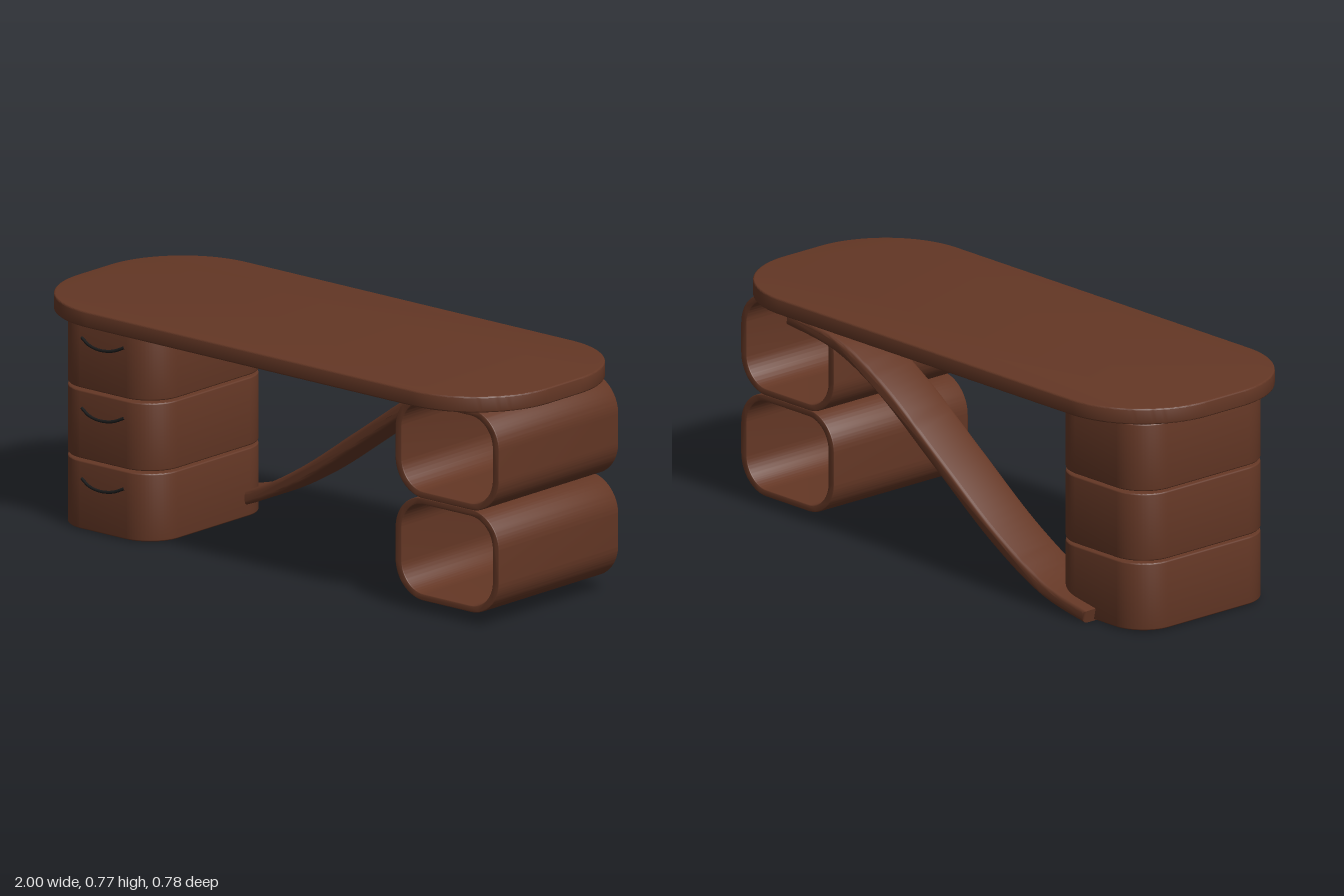
import * as THREE from 'three';
import { toCreasedNormals } from 'three/addons/utils/BufferGeometryUtils.js';

const wood = new THREE.MeshStandardMaterial({ color: 0x643725 });
wood.name = 'walnut';
const black = new THREE.MeshStandardMaterial({ color: 0x1a1a1a });
black.name = 'blackMetal';

// Rounded rectangle centred on the origin
function roundRect(w, h, r, Type = THREE.Shape) {
  const s = new Type();
  const x = w / 2, y = h / 2;
  s.moveTo(x, r - y);
  s.absarc(x - r, y - r, r, 0, Math.PI / 2, false);
  s.absarc(r - x, y - r, r, Math.PI / 2, Math.PI, false);
  s.absarc(r - x, r - y, r, Math.PI, Math.PI * 1.5, false);
  s.absarc(x - r, r - y, r, Math.PI * 1.5, Math.PI * 2, false);
  return s;
}

// Extrusion with softly rounded edges, centred in depth, keeping its outer size
function softExtrude(shape, depth, bevel) {
  const geo = new THREE.ExtrudeGeometry(shape, {
    depth: depth - 2 * bevel, bevelThickness: bevel, bevelSize: bevel,
    bevelOffset: -bevel, bevelSegments: 3, curveSegments: 20,
  });
  geo.translate(0, 0, bevel - depth / 2);
  return geo;
}

function addMesh(parent, name, geo, material = wood) {
  const mesh = new THREE.Mesh(geo, material);
  mesh.name = name;
  parent.add(mesh);
  return mesh;
}

// Horizontal slab between two heights
function slab(parent, name, w, d, r, y0, y1, bevel) {
  const geo = softExtrude(roundRect(w, d, r), y1 - y0, bevel);
  geo.rotateX(-Math.PI / 2);
  const mesh = addMesh(parent, name, toCreasedNormals(geo, 0.6));
  mesh.position.y = (y0 + y1) / 2;
  return mesh;
}

export function createModel() {
  const desk = new THREE.Group();
  desk.name = 'desk';

  // Top
  slab(desk, 'deskTop', 2, 0.776, 0.31, 0.715, 0.768, 0.005);

  // Stack of three drawers with sagging handles
  const drawers = new THREE.Group();
  drawers.name = 'drawerStack';
  drawers.position.x = -0.705;
  desk.add(drawers);
  for (let i = 0; i < 3; i++) {
    const y = 0.006 + i * 0.2345;
    slab(drawers, 'drawer', 0.43, 0.585, 0.12, y, y + 0.226, 0.005);
    const arc = new THREE.CatmullRomCurve3([
      [-0.09, 0.643, 0.293], [-0.05, 0.626, 0.302], [0, 0.62, 0.306],
      [0.05, 0.626, 0.302], [0.09, 0.643, 0.293],
    ].map(([px, py, pz]) => new THREE.Vector3(px, py + (i - 2) * 0.2345, pz)));
    addMesh(drawers, 'drawerHandle', new THREE.TubeGeometry(arc, 24, 0.005, 8), black);
  }
  slab(drawers, 'drawerStackCap', 0.425, 0.58, 0.12, 0.7, 0.716, 0.002);

  // Two open storage tubes
  for (const [name, y0, y1] of [['lowerCubby', 0.04, 0.382], ['upperCubby', 0.38, 0.716]]) {
    const h = y1 - y0;
    const ring = roundRect(0.44, h, 0.12);
    ring.holes.push(roundRect(0.386, h - 0.044, 0.095, THREE.Path));
    const cubby = addMesh(desk, name, toCreasedNormals(softExtrude(ring, 0.583, 0.003), 0.6));
    cubby.position.set(0.753, (y0 + y1) / 2, 0);
  }

  // Sweeping brace behind the desk: a ribbon offset to both sides of an S-curve
  const path = new THREE.SplineCurve([
    [-0.7, 0.023], [-0.49, 0.07], [-0.26, 0.188], [0, 0.368],
    [0.26, 0.548], [0.48, 0.655], [0.7, 0.692],
  ].map(([x, y]) => new THREE.Vector2(x, y)));
  const upper = [], lower = [];
  for (let i = 0; i <= 48; i++) {
    const p = path.getPoint(i / 48), t = path.getTangent(i / 48);
    const n = new THREE.Vector2(-t.y, t.x).multiplyScalar(0.022);
    upper.push(p.clone().add(n));
    lower.push(p.clone().sub(n));
  }
  const brace = softExtrude(new THREE.Shape([...lower, ...upper.reverse()]), 0.186, 0.012);
  // Widen towards the upper end
  const pos = brace.attributes.position;
  for (let i = 0; i < pos.count; i++) {
    pos.setZ(i, pos.getZ(i) * (1 + 0.14 * THREE.MathUtils.smoothstep(pos.getX(i), 0.3, 0.7)));
  }
  addMesh(desk, 'sweepingBrace', toCreasedNormals(brace, 0.7)).position.z = -0.243;

  return desk;
}
